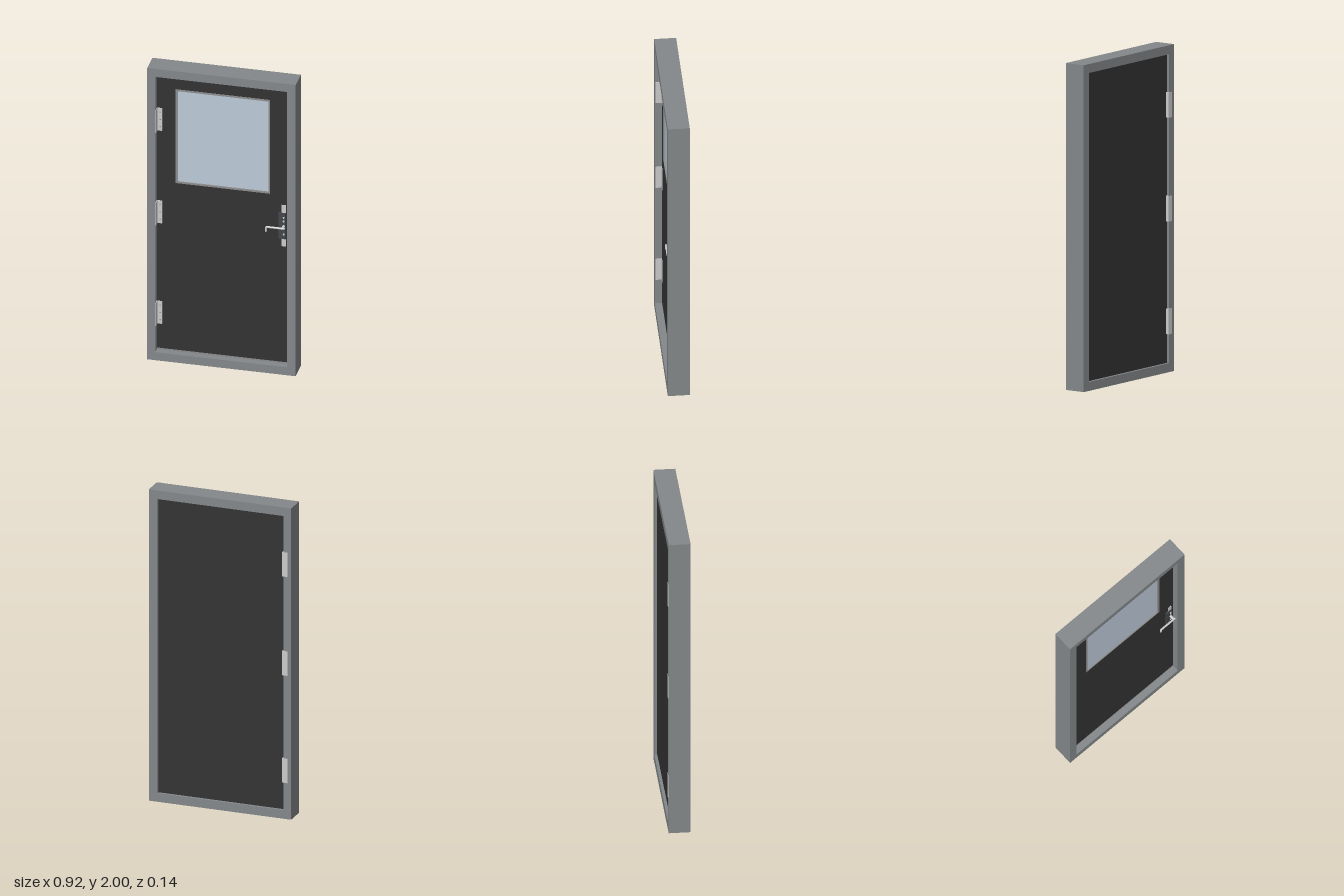
import * as THREE from 'three';

const mat = (color) => new THREE.MeshStandardMaterial({ color });

// Rectangle outline, used for outer borders and holes
function rect(path, x0, x1, y0, y1) {
  path.moveTo(x0, y0);
  path.lineTo(x1, y0);
  path.lineTo(x1, y1);
  path.lineTo(x0, y1);
  path.closePath();
  return path;
}

// Rectangular ring extruded from z0 to z1; o and i are [x0, x1, y0, y1]
function ring(o, i, z0, z1) {
  const shape = rect(new THREE.Shape(), ...o);
  shape.holes.push(rect(new THREE.Path(), ...i));
  const g = new THREE.ExtrudeGeometry(shape, { depth: z1 - z0, bevelEnabled: false });
  return g.translate(0, 0, z0);
}

export function createModel() {
  const door = new THREE.Group();
  door.name = 'door';
  const frameGrey = mat(0x84888a);
  const panelDark = mat(0x333333);
  const trimGrey = mat(0x8c8d8c);
  const glassBlue = mat(0xbccad8);
  const steel = mat(0xcccccc);
  const plateDark = mat(0x44474b);

  const add = (name, geometry, material, parent = door) => {
    const mesh = new THREE.Mesh(geometry, material);
    mesh.name = name;
    parent.add(mesh);
    return mesh;
  };
  const box = (name, [x0, x1, y0, y1, z0, z1], material, parent) => {
    const mesh = add(name, new THREE.BoxGeometry(x1 - x0, y1 - y0, z1 - z0), material, parent);
    mesh.position.set((x0 + x1) / 2, (y0 + y1) / 2, (z0 + z1) / 2);
    return mesh;
  };
  // Short round part whose axis points along z
  const disc = (name, x, y, z, r, depth, material, parent) => {
    const g = new THREE.CylinderGeometry(r, r, depth, 16).rotateX(Math.PI / 2);
    add(name, g, material, parent).position.set(x, y, z);
  };

  // Fixed frame and the door leaf set inside it
  const L = -0.41, R = 0.405, FRONT = 0.022, BACK = -0.05;
  add('outerFrame', ring([-0.46, 0.46, 0, 2], [L, R, 0.055, 1.945], -0.068, 0.065), frameGrey);
  const win = [-0.295, 0.292, 1.21, 1.853];
  box('doorPanel', [L, R, 0.055, 1.945, BACK, FRONT - 0.01], panelDark);
  add('doorFace', ring([L, R, 0.065, 1.938], win, FRONT - 0.01, FRONT), panelDark);
  box('bottomSeal', [L, R, 0.055, 0.065, 0, FRONT], trimGrey);
  box('topSeal', [L, R, 1.938, 1.945, 0, FRONT], trimGrey);

  // Window on the front face
  const inner = [win[0] + 0.011, win[1] - 0.011, win[2] + 0.011, win[3] - 0.011];
  add('windowTrim', ring(win, inner, FRONT - 0.01, FRONT + 0.003), trimGrey);
  box('windowGlass', [...inner, FRONT - 0.01, FRONT - 0.005], glassBlue);

  // Three hinges with leaves on door, jamb and the back of the frame
  for (const y of [0.31, 1.0, 1.635]) {
    const hinge = new THREE.Group();
    hinge.name = 'hinge';
    door.add(hinge);
    const h = 0.078;
    box('doorLeaf', [L, -0.377, y - h, y + h, FRONT, FRONT + 0.003], steel, hinge);
    box('jambLeaf', [L, L + 0.003, y - h, y + h, FRONT, 0.062], steel, hinge);
    box('backLeaf', [-0.438, L + 0.008, y - h, y + h, -0.07, -0.067], steel, hinge);
    box('backReturn', [L, L + 0.008, y - h, y + h, -0.07, BACK], steel, hinge);
    for (const dy of [-0.05, 0, 0.05])
      disc('screw', -0.389, y + dy, FRONT + 0.003, 0.004, 0.002, trimGrey, hinge);
  }

  // Lock: long steel strip, dark cover plate and small fittings
  const lock = new THREE.Group();
  lock.name = 'lock';
  door.add(lock);
  box('lockStrip', [0.363, 0.389, 0.86, 1.143, FRONT, FRONT + 0.003], steel, lock);
  box('coverPlate', [0.345, 0.389, 0.912, 1.09, FRONT, FRONT + 0.008], plateDark, lock);
  for (const y of [1.06, 1.035, 0.945])
    disc('lockFitting', 0.378, y, FRONT + 0.009, 0.006, 0.006, steel, lock);

  // Lever handle with a spindle and a tip turned down
  disc('spindle', 0.378, 1.0, 0.041, 0.009, 0.04, steel, lock);
  const path = new THREE.CurvePath();
  const p = (x, y) => new THREE.Vector3(x, y, 0.06);
  path.add(new THREE.LineCurve3(p(0.386, 1.0), p(0.284, 1.0)));
  path.add(new THREE.QuadraticBezierCurve3(p(0.284, 1.0), p(0.274, 1.0), p(0.274, 0.99)));
  path.add(new THREE.LineCurve3(p(0.274, 0.99), p(0.274, 0.972)));
  add('lever', new THREE.TubeGeometry(path, 40, 0.0065, 10), steel, lock);
  for (const [x, y] of [[0.386, 1.0], [0.274, 0.972]])
    add('leverEnd', new THREE.SphereGeometry(0.0065, 10, 8), steel, lock).position.set(x, y, 0.06);

  return door;
}
